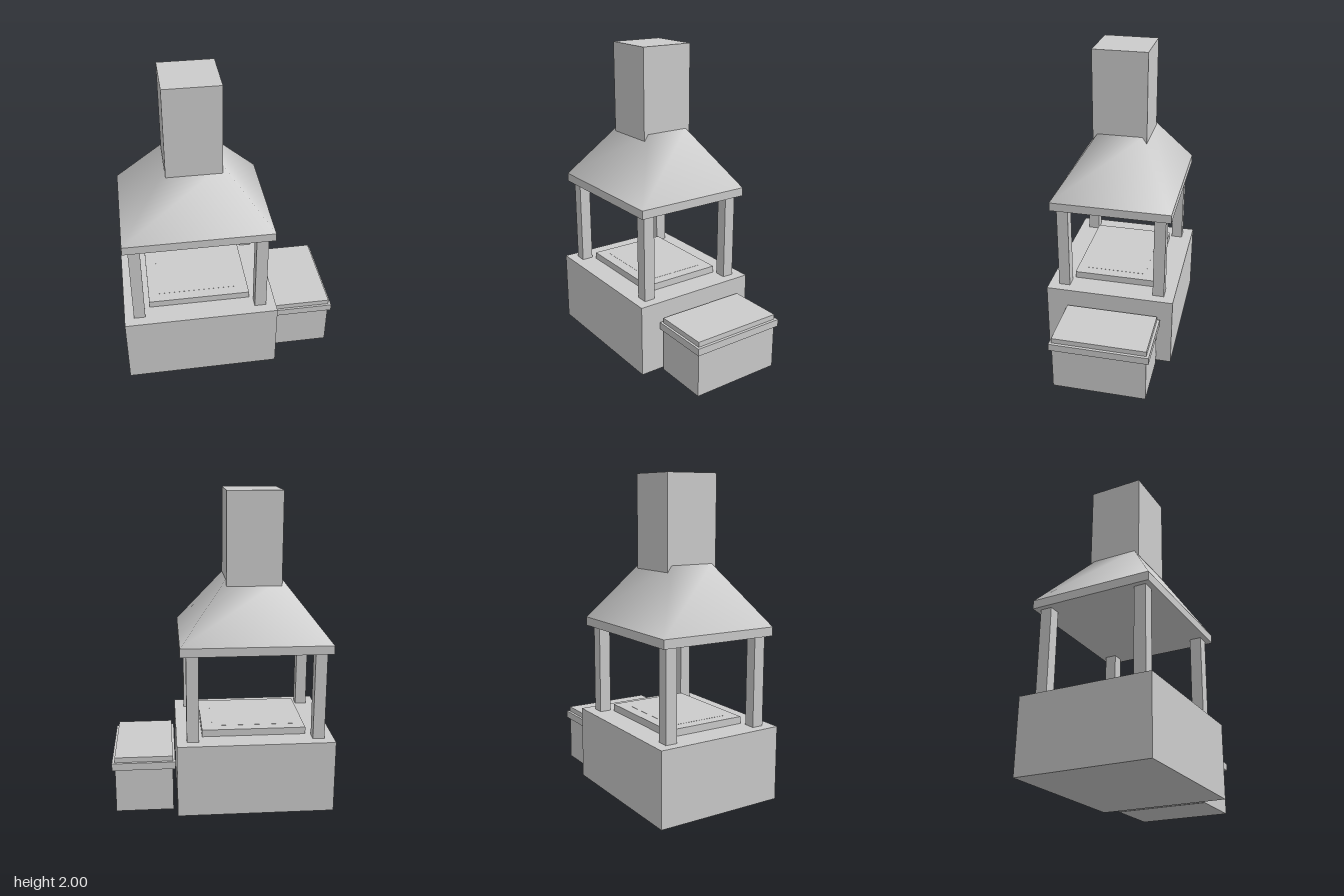
import * as THREE from 'three';
import { mergeVertices } from 'three/addons/utils/BufferGeometryUtils.js';

const stone = new THREE.MeshStandardMaterial({ color: 0xcccccc });
stone.name = 'pale stone';

// Box given by its limits on each axis
function block(name, [x0, x1], [y0, y1], [z0, z1]) {
  const mesh = new THREE.Mesh(new THREE.BoxGeometry(x1 - x0, y1 - y0, z1 - z0), stone);
  mesh.position.set((x0 + x1) / 2, (y0 + y1) / 2, (z0 + z1) / 2);
  mesh.name = name;
  return mesh;
}

// Tapered four-sided hood with softly shared normals, open at both ends
function hoodGeometry() {
  const box = new THREE.BoxGeometry(1, 1, 1);
  const index = Array.from(box.index.array);
  index.splice(12, 12); // drop top and bottom faces
  box.setIndex(index);
  box.deleteAttribute('normal');
  box.deleteAttribute('uv');
  const geo = mergeVertices(box);
  const p = geo.attributes.position;
  for (let i = 0; i < p.count; i++) {
    const top = p.getY(i) > 0;
    const halfX = top ? 0.175 : 0.47, halfZ = top ? 0.145 : 0.388;
    p.setXYZ(i, -0.205 + Math.sign(p.getX(i)) * halfX, top ? 1.46 : 1.09, Math.sign(p.getZ(i)) * halfZ);
  }
  geo.computeVertexNormals();
  return geo;
}

export function createModel() {
  const model = new THREE.Group();
  model.name = 'outdoorFireplace';

  // Hearth
  model.add(
    block('base', [-0.703, 0.292], [0, 0.47], [-0.42, 0.42]),
    block('hearthSlab', [-0.535, 0.128], [0.47, 0.515], [-0.267, 0.267]),
    block('hearthInset', [-0.465, 0.058], [0.51, 0.516], [-0.197, 0.197])
  );

  // Corner posts
  for (const x of [[-0.642, -0.568], [0.152, 0.228]])
    for (const z of [[-0.352, -0.278], [0.28, 0.354]])
      model.add(block('post', x, [0.47, 1.035], z));

  // Hood and chimney
  model.add(block('hoodFrame', [-0.675, 0.265], [1.035, 1.09], [-0.388, 0.388]));
  const hood = new THREE.Mesh(hoodGeometry(), stone);
  hood.name = 'hood';
  model.add(hood);
  model.add(block('hoodCap', [-0.378, -0.032], [1.44, 1.46], [-0.145, 0.145]));
  model.add(block('chimney', [-0.378, -0.032], [1.42, 2], [-0.174, 0.174]));

  // Side bench
  model.add(
    block('benchBody', [0.317, 0.682], [0, 0.29], [-0.325, 0.275]),
    block('benchRim', [0.302, 0.7], [0.29, 0.337], [-0.342, 0.29]),
    block('benchTop', [0.317, 0.682], [0.337, 0.37], [-0.325, 0.275])
  );
  return model;
}
